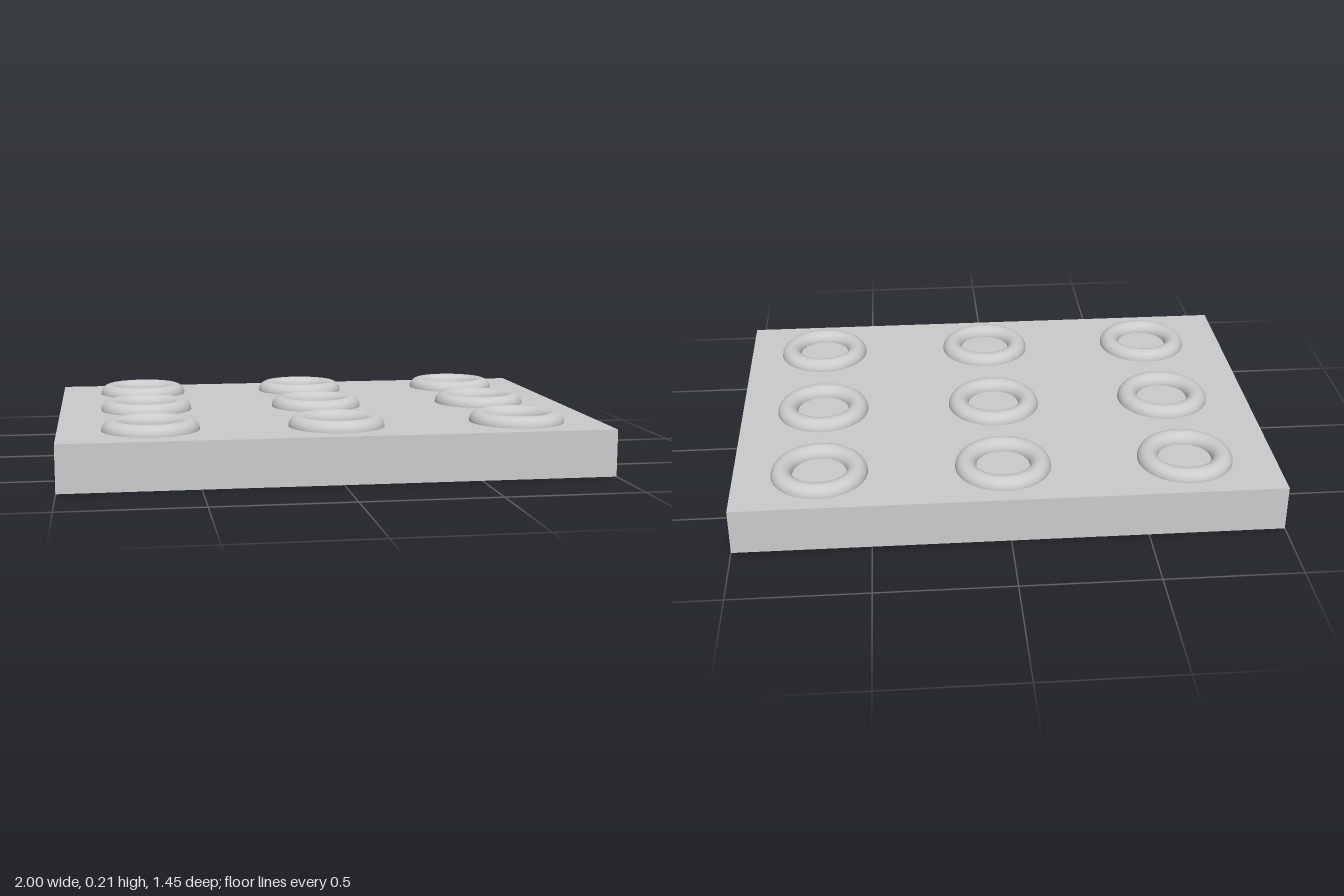
import * as THREE from 'three';

export function createModel() {
  const group = new THREE.Group();
  const material = new THREE.MeshStandardMaterial({ color: 0xcccccc });
  const height = 0.173;

  // Flat rectangular slab
  const slab = new THREE.Mesh(new THREE.BoxGeometry(2, height, 1.453), material);
  slab.name = 'slab';
  slab.position.y = height / 2;
  group.add(slab);

  // Nine rings half sunk into the top, in a slightly uneven grid of [x, z]
  const ringGeometry = new THREE.TorusGeometry(0.138, 0.039, 24, 64).rotateX(-Math.PI / 2);
  const centres = [
    [-0.665, -0.49], [0.012, -0.49], [0.685, -0.49],
    [-0.665, -0.018], [0.012, -0.018], [0.685, -0.018],
    [-0.665, 0.47], [0.012, 0.481], [0.695, 0.481],
  ];
  centres.forEach(([x, z], i) => {
    const ring = new THREE.Mesh(ringGeometry, material);
    ring.name = `ring${i + 1}`;
    ring.position.set(x, height, z);
    group.add(ring);
  });

  return group;
}
